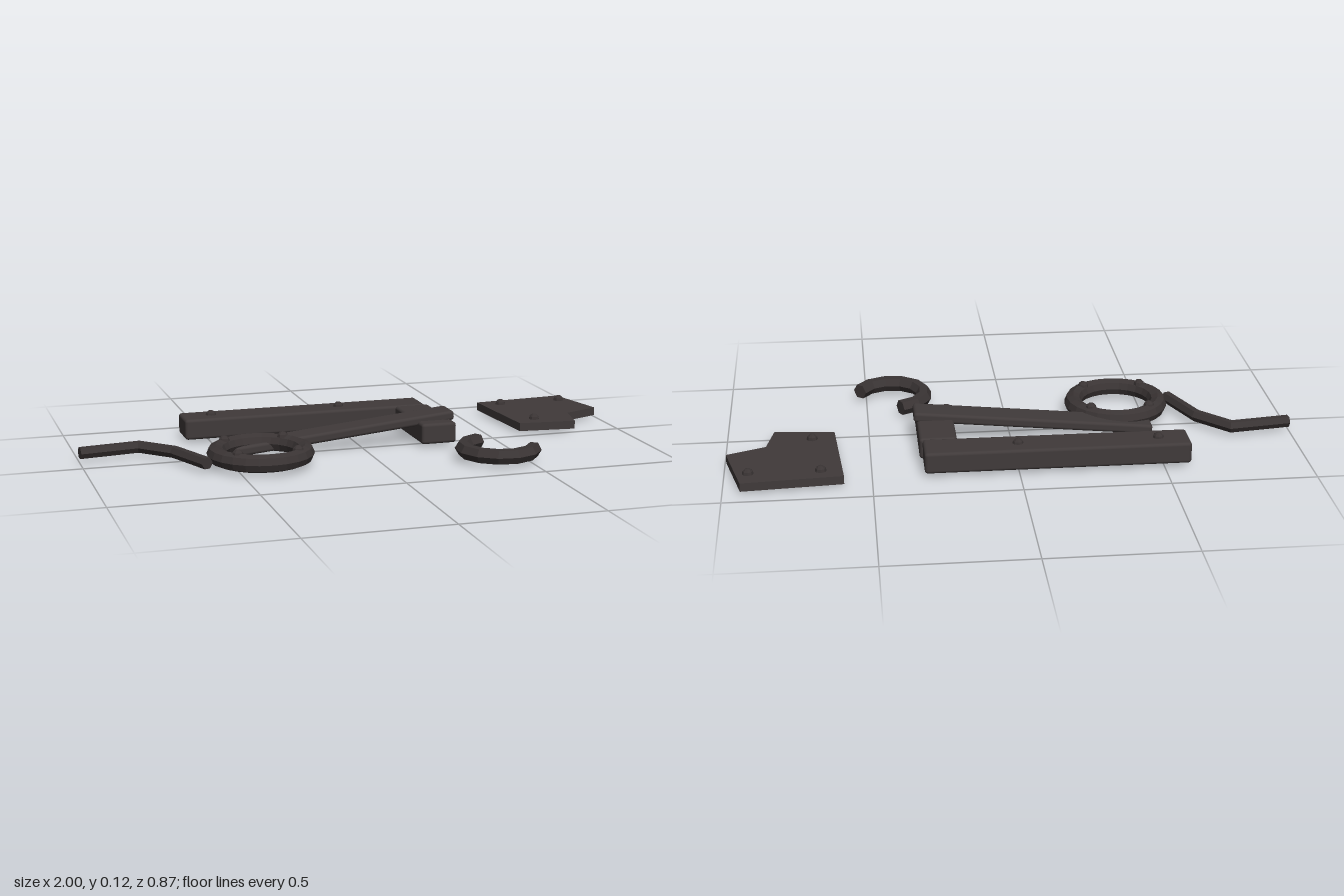
import * as THREE from 'three';
import { RoundedBoxGeometry } from 'three/addons/geometries/RoundedBoxGeometry.js';

const iron = new THREE.MeshStandardMaterial({ color: 0x403a3a });
iron.name = 'iron';
const darkIron = new THREE.MeshStandardMaterial({ color: 0x3a3434 });
darkIron.name = 'dark iron';

// Faceted normals
function facet(geometry) {
  const g = geometry.index ? geometry.toNonIndexed() : geometry;
  g.computeVertexNormals();
  return g;
}

// Flat-lying hexagonal rod swept along [x, z] points with mitred bends and capped ends
function sweepRod(path, r, y, sides = 6) {
  const pts = path.map(([x, z]) => new THREE.Vector2(x, z));
  const pos = [], idx = [], n = pts.length;
  pts.forEach((p, i) => {
    const a = pts[Math.max(i, 1)].clone().sub(pts[Math.max(i, 1) - 1]).normalize();
    const k = Math.min(i, n - 2);
    const b = pts[k + 1].clone().sub(pts[k]).normalize();
    const t = a.clone().add(b).normalize();
    const w = r / t.dot(a);
    for (let j = 0; j < sides; j++) {
      const q = (j / sides) * Math.PI * 2;
      pos.push(p.x - t.y * w * Math.cos(q), y + r * Math.sin(q), p.y + t.x * w * Math.cos(q));
    }
  });
  for (let i = 0; i < n - 1; i++) {
    for (let j = 0; j < sides; j++) {
      const a = i * sides + j, b = i * sides + (j + 1) % sides;
      idx.push(a, a + sides, b, b, a + sides, b + sides);
    }
  }
  const last = (n - 1) * sides;
  for (let j = 1; j < sides - 1; j++) {
    idx.push(0, j, j + 1, last, last + j + 1, last + j);
  }
  const g = new THREE.BufferGeometry();
  g.setAttribute('position', new THREE.Float32BufferAttribute(pos, 3));
  g.setIndex(idx);
  return facet(g);
}

export function createModel() {
  const model = new THREE.Group();
  model.name = 'scrapMetal';

  function add(name, geometry, material, x = 0, y = 0, z = 0) {
    const mesh = new THREE.Mesh(geometry, material);
    mesh.name = name;
    mesh.position.set(x, y, z);
    model.add(mesh);
    return mesh;
  }
  const bar = (name, w, h, d, x, y, z) =>
    add(name, new RoundedBoxGeometry(w, h, d, 2, 0.011), iron, x, y, z);

  // Bars: long beam, cross block and the strap leaning over it
  bar('longBeam', 0.915, 0.075, 0.13, -0.135, 0.053, -0.308);
  bar('crossBlock', 0.13, 0.075, 0.316, 0.268, 0.053, -0.088);
  bar('leaningStrap', 0.855, 0.035, 0.104, -0.082, 0.0615, -0.034).rotation.z = 0.098;

  // Closed ring
  const ring = new THREE.TorusGeometry(0.155, 0.032, 8, 24).rotateX(Math.PI / 2);
  add('ring', facet(ring), darkIron, -0.405, 0.047, 0.125);

  // Broken open ring
  const arc = [];
  for (let i = 0; i <= 8; i++) {
    const a = THREE.MathUtils.degToRad(24 + (232 * i) / 8);
    arc.push([0.41 + 0.124 * Math.cos(a), 0.285 + 0.124 * Math.sin(a)]);
  }
  add('brokenRing', sweepRod(arc, 0.028, 0.041), darkIron);

  // Bent rod
  const bend = [[-0.998, -0.09], [-0.785, -0.12], [-0.68, -0.01], [-0.605, 0.18]];
  add('bentRod', sweepRod(bend, 0.022, 0.037), darkIron);

  // Torn plate
  const outline = [[0.595, -0.413], [0.94, -0.438], [0.995, -0.2],
    [0.86, -0.145], [0.833, -0.016], [0.622, -0.038]];
  const shape = new THREE.Shape(outline.map(([x, z]) => new THREE.Vector2(x, -z)));
  const plate = new THREE.ExtrudeGeometry(shape, { depth: 0.03, bevelEnabled: false });
  add('tornPlate', plate.rotateX(-Math.PI / 2), iron, 0, 0.012, 0);

  // Domed rivets
  const dome = facet(new THREE.SphereGeometry(0.02, 8, 3, 0, Math.PI * 2, 0, Math.PI / 2));
  const rivets = [
    [-0.485, 0.088, -0.308], [0, 0.088, -0.308],
    [0.672, 0.042, -0.362], [0.915, 0.042, -0.362], [0.7, 0.042, -0.092],
  ];
  for (const sx of [-1, 1]) {
    for (const sz of [-1, 1]) rivets.push([-0.405 + sx * 0.105, 0.071, 0.125 + sz * 0.105]);
  }
  for (const [x, y, z] of rivets) add('rivet', dome, darkIron, x, y, z);

  return model;
}
